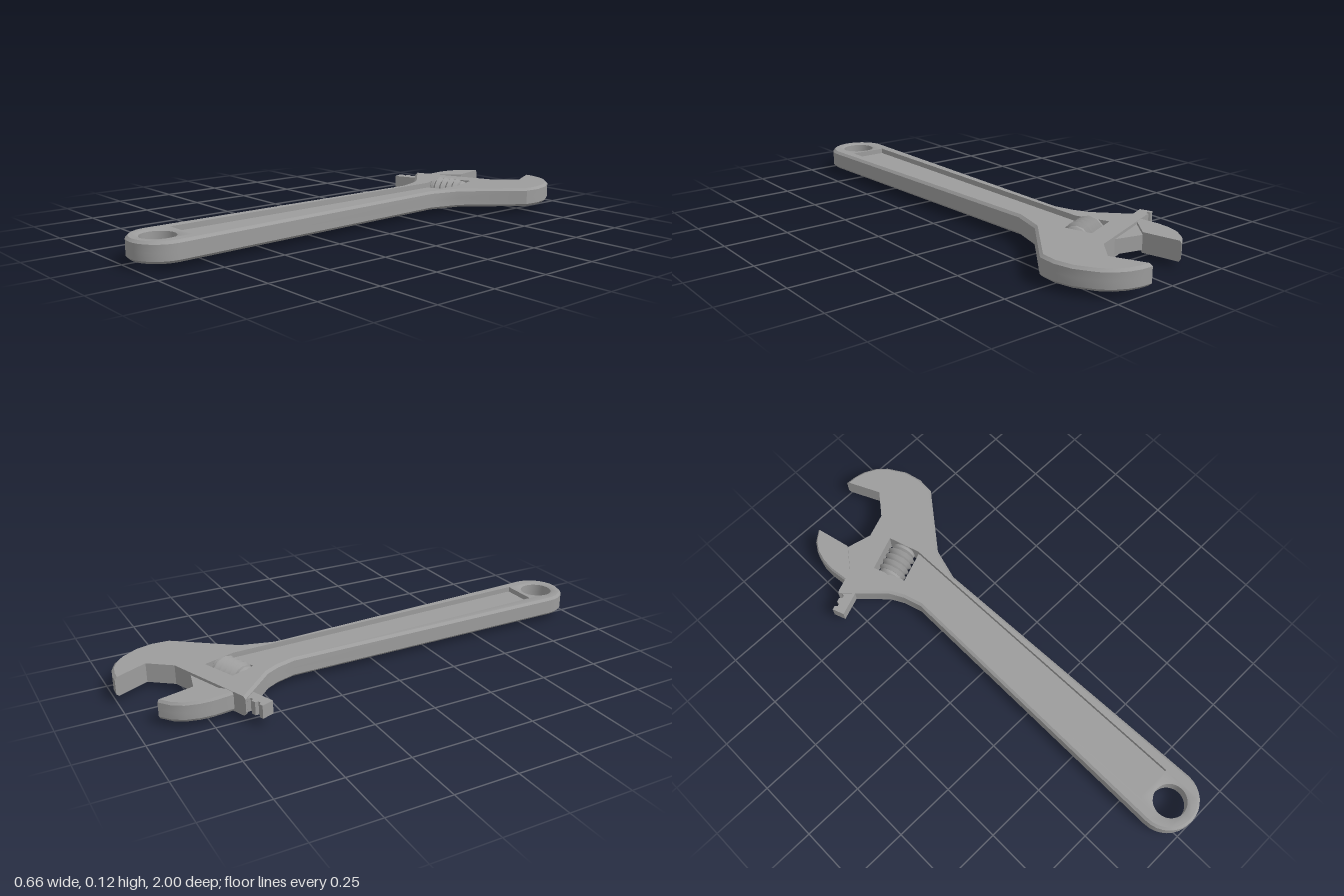
import * as THREE from 'three';
import { toCreasedNormals } from 'three/addons/utils/BufferGeometryUtils.js';

const MID = 0.0645; // height of the symmetry plane
const TILT = THREE.MathUtils.degToRad(20.5); // slant of the jaw slide
const V = (x, v) => new THREE.Vector2(x, v); // plan coordinates, v = -z
const material = new THREE.MeshStandardMaterial({ color: 0x9c9c9c });

// Collects triangles of an upper half and mirrors each one below y = 0.
function halfBuilder() {
  const pos = [];
  const tri = (a, b, c) => {
    for (const [p, y] of [a, b, c]) pos.push(p.x, y, -p.y);
    for (const [p, y] of [a, c, b]) pos.push(p.x, -y, -p.y);
  };
  return {
    cap(outline, holes, y) {
      const all = [...outline, ...holes.flat()];
      for (const [a, b, c] of THREE.ShapeUtils.triangulateShape([...outline], holes.map((h) => [...h])))
        tri([all[a], y], [all[b], y], [all[c], y]);
    },
    band(low, y0, high, y1, closed = true) {
      const n = low.length;
      for (let i = 0; i < (closed ? n : n - 1); i++) {
        const j = (i + 1) % n;
        tri([low[i], y0], [low[j], y0], [high[j], y1]);
        tri([low[i], y0], [high[j], y1], [high[i], y1]);
      }
    },
    mesh(name) {
      const g = new THREE.BufferGeometry();
      g.setAttribute('position', new THREE.Float32BufferAttribute(pos, 3));
      const m = new THREE.Mesh(toCreasedNormals(g, 0.5), material);
      m.name = name;
      m.position.y = MID;
      return m;
    },
  };
}

// Moves each edge of a counter-clockwise outline inward by dist(edge index).
function inset(pts, dist) {
  const n = pts.length;
  const normal = (i) => {
    const d = pts[(i + 1) % n].clone().sub(pts[i]).normalize();
    return V(-d.y, d.x);
  };
  return pts.map((p, i) => {
    const k = (i + n - 1) % n;
    const a = normal(k), b = normal(i), da = dist(k), db = dist(i);
    const det = a.cross(b);
    if (Math.abs(det) < 1e-3) return p.clone().addScaledVector(b, db);
    return V(p.x + (da * b.y - db * a.y) / det, p.y + (a.x * db - b.x * da) / det);
  });
}

const circle = (x, v, r, n = 32) =>
  Array.from({ length: n }, (_, i) => V(x + r * Math.cos((i / n) * 2 * Math.PI), v + r * Math.sin((i / n) * 2 * Math.PI)));

// Plain or bevelled plate
function plate(name, pts, half, bevel = () => 0) {
  const b = halfBuilder();
  const top = inset(pts, bevel);
  b.band(pts, 0, pts, half - 0.01);
  b.band(pts, half - 0.01, top, half);
  b.cap(top, [], half);
  return b.mesh(name);
}

function makeBody() {
  const H = 0.039, FLOOR = 0.018, B = 0.01;
  const heel = Array.from({ length: 17 }, (_, i) => {
    const a = Math.PI * (1 + i / 16);
    return V(0.059 + 0.122 * Math.cos(a), -0.877 + 0.122 * Math.sin(a));
  });
  const outline = [
    V(0.10, 1.0), V(0.165, 0.865), V(0.095, 0.775), V(-0.268, 0.64),
    V(-0.12, 0.49), V(-0.09, 0.435), V(-0.067, 0.36),
    ...heel,
    V(0.118, 0.36), V(0.153, 0.49), V(0.329, 0.72), V(0.333, 0.79),
    V(0.316, 0.86), V(0.272, 0.93), V(0.237, 0.963), V(0.19, 0.987), V(0.145, 0.998),
  ];
  const top = inset(outline, (i) => (i < 3 ? 0 : B));
  const [w0, w1, w2, w3] = [V(-0.04, 0.493), V(0.092, 0.543), V(0.05, 0.672), V(-0.09, 0.617)];
  const r0 = V(-0.016, -0.8), r1 = V(0.134, -0.8);
  const ring = circle(0.057, -0.89, 0.066), rim = circle(0.057, -0.89, 0.077);
  const b = halfBuilder();
  // outer wall, bevel and face
  b.band(outline, 0, outline, H - B);
  b.band(outline, H - B, top, H);
  b.cap(top, [[r0, r1, w1, w2, w3, w0], rim], H);
  // handle recess
  b.cap([r0, r1, w1, w0], [], FLOOR);
  const recess = [w1, r1, r0, w0];
  b.band(recess, FLOOR, recess, H, false);
  // window for the worm
  const window = [w0, w3, w2, w1];
  b.band(window, 0, window, H, false);
  b.band([w1, w0], 0, [w1, w0], FLOOR, false);
  // hanging hole
  ring.reverse();
  rim.reverse();
  b.band(ring, 0, ring, H - 0.005);
  b.band(ring, H - 0.005, rim, H);
  return b.mesh('body');
}

function makeJaw() {
  const jaw = new THREE.Group();
  jaw.name = 'movableJaw';
  const hook = [
    V(-0.135, 0.915), V(-0.18, 0.88), V(-0.205, 0.84), V(-0.218, 0.79),
    V(-0.22, 0.74), V(-0.21, 0.661), V(-0.17, 0.676), V(-0.10, 0.77),
  ];
  jaw.add(plate('jawHook', hook, 0.038, (i) => (i < 5 ? 0.006 : 0)));
  jaw.add(plate('jawWeb', [V(-0.10, 0.77), V(-0.17, 0.676), V(0.01, 0.743)], 0.028));

  // toothed rack, in coordinates along the slide
  const rack = [V(0, 0), V(0.19, 0), V(0.19, 0.05)];
  for (let i = 3; i >= 0; i--) {
    const u = 0.016 + i * 0.04;
    rack.push(V(u + 0.022, 0.05), V(u + 0.017, 0.038), V(u + 0.005, 0.038), V(u, 0.05));
  }
  rack.push(V(0, 0.05));
  const base = V(-0.314, 0.556);
  jaw.add(plate('rack', rack.map((p) => p.rotateAround(V(0, 0), TILT).add(base)), 0.026));
  return jaw;
}

function makeWorm() {
  const profile = [V(0, -0.077), V(0.04, -0.077), V(0.05, -0.067), V(0.05, -0.056)];
  for (let i = 0; i < 4; i++) {
    const c = (i - 1.5) * 0.027;
    profile.push(V(0.045, c - 0.013), V(0.0605, c));
  }
  profile.push(V(0.045, 0.0535), V(0.05, 0.056), V(0.05, 0.067), V(0.04, 0.077), V(0, 0.077));
  const g = new THREE.LatheGeometry(profile, 12);
  g.rotateZ(-Math.PI / 2);
  g.rotateY(TILT);
  const worm = new THREE.Mesh(toCreasedNormals(g, 0.55), material);
  worm.name = 'worm';
  worm.position.set(0.001, 0.0625, -0.581);
  return worm;
}

export function createModel() {
  const wrench = new THREE.Group();
  wrench.name = 'adjustableWrench';
  wrench.add(makeBody(), makeJaw(), makeWorm());
  return wrench;
}
